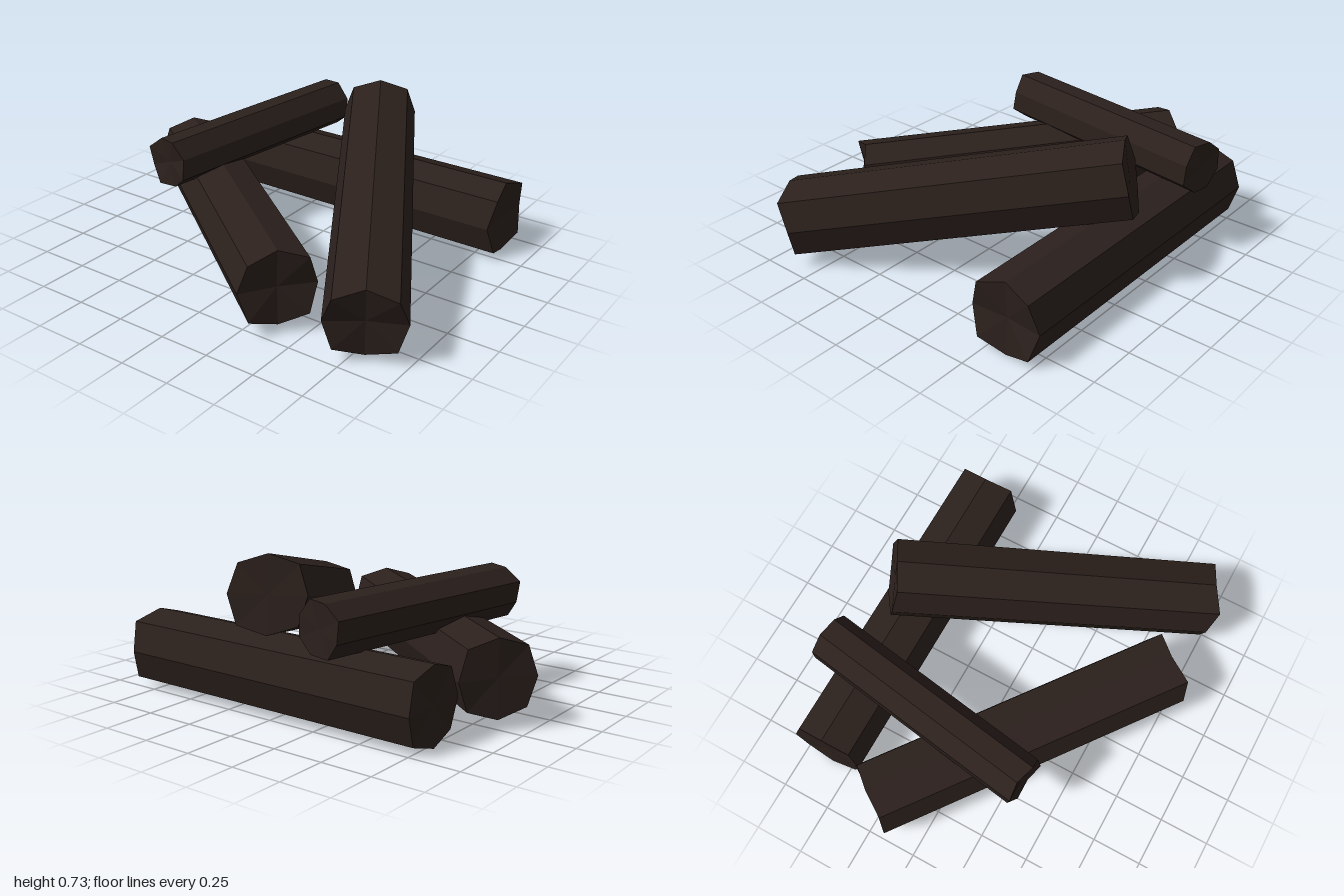
import * as THREE from 'three';

const bark = new THREE.MeshStandardMaterial({ color: 0x2b201c, flatShading: true, roughness: 1 });

// Eight-sided log along +y: squared-off section, ragged hollow top end, nearly flat bottom end
function logGeometry(length, size) {
  const geo = new THREE.CylinderGeometry(1, 1, length, 8, 1);
  const pos = geo.attributes.position;
  for (let i = 0; i < pos.count; i++) {
    const x = pos.getX(i), y = pos.getY(i), z = pos.getZ(i);
    const top = y > 0;
    if (Math.hypot(x, z) < 0.01) {
      pos.setY(i, y - (top ? 0.025 : -0.008) * size);
      continue;
    }
    const odd = Math.abs(Math.round(Math.atan2(x, z) / (Math.PI / 4))) % 2;
    const r = (odd ? 0.197 : 0.183) * size;
    const jag = top ? (odd ? 0.012 : -0.012) : (odd ? 0.004 : -0.004);
    pos.setXYZ(i, x * r, y + jag * size, z * r);
  }
  return geo;
}

// Places a log between its flat end and its ragged end
function addLog(group, name, flatEnd, raggedEnd, size, roll) {
  const a = new THREE.Vector3(...flatEnd), b = new THREE.Vector3(...raggedEnd);
  const axis = b.clone().sub(a);
  const length = axis.length();
  axis.normalize();
  const side = new THREE.Vector3().crossVectors(axis, new THREE.Vector3(0, 1, 0)).normalize();
  const up = new THREE.Vector3().crossVectors(side, axis);
  const log = new THREE.Mesh(logGeometry(length, size), bark);
  log.name = name;
  log.quaternion.setFromRotationMatrix(new THREE.Matrix4().makeBasis(side, axis, up));
  log.rotateY(roll);
  log.position.copy(a).add(b).multiplyScalar(0.5);
  group.add(log);
}

export function createModel() {
  const group = new THREE.Group();
  group.name = 'logPile';
  addLog(group, 'leftLog', [0.605, 0.185, -0.775], [0.605, 0.185, 0.853], 1, 0);
  addLog(group, 'backLog', [0.28, 0.243, -0.89], [-0.69, 0.23, 0.405], 1, 0);
  addLog(group, 'leaningLog', [0.68, 0.555, 0.06], [-0.69, 0.21, 0.845], 1, 0);
  addLog(group, 'smallTopLog', [0.81, 0.485, -0.335], [-0.355, 0.472, -0.515], 0.68, 0.36);
  return group;
}
